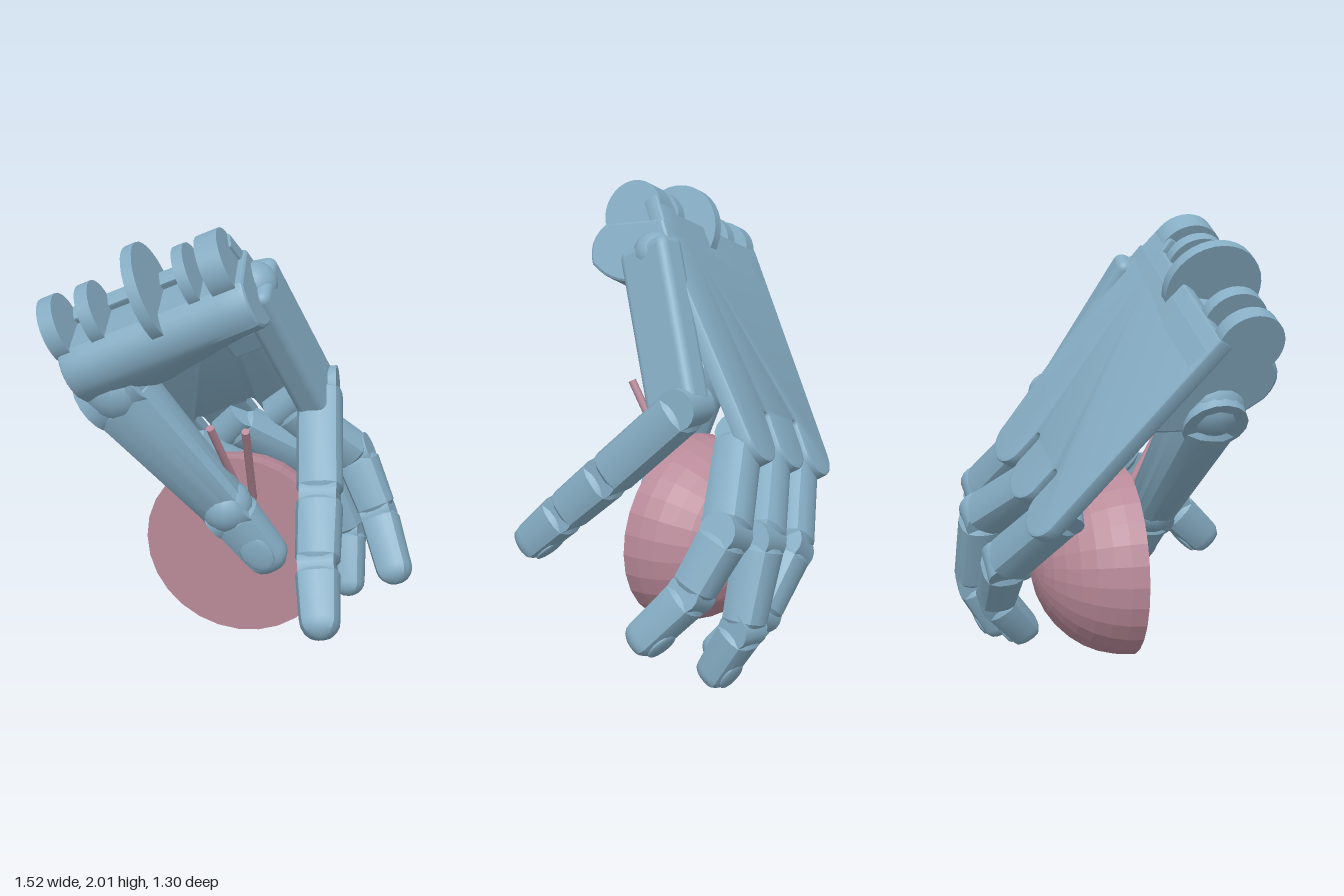
import * as THREE from 'three';
import { toCreasedNormals } from 'three/addons/utils/BufferGeometryUtils.js';
import { RoundedBoxGeometry } from 'three/addons/geometries/RoundedBoxGeometry.js';

const V = (x, y, z) => new THREE.Vector3(x, y, z);

// Hand frame: U across the knuckles, W from wrist to fingers, N out of the back of the hand
const U = V(0.91, 0.41, -0.08).normalize();
const N = U.clone().cross(V(0.25, -0.76, -0.6)).normalize();
const W = N.clone().cross(U);
const O = V(-0.12, 0.93, -0.44);
const at = (a, b, n) => O.clone().addScaledVector(U, a).addScaledVector(W, b).addScaledVector(N, n);

const blue = new THREE.MeshStandardMaterial({ color: 0x86adc4 });
const pink = new THREE.MeshStandardMaterial({ color: 0xb98a99 });
const pinkFacets = new THREE.MeshStandardMaterial({ color: 0xb98a99, flatShading: true });

function add(parent, name, geo, mat = blue) {
  const mesh = new THREE.Mesh(geo, mat);
  mesh.name = name;
  parent.add(mesh);
  return mesh;
}

function place(mesh, x, y, z, pos) {
  mesh.applyMatrix4(new THREE.Matrix4().makeBasis(x, y, z).setPosition(pos));
}

// Orients a mesh with y running from p to q and x near the hint
function along(mesh, p, q, hint, pos = p) {
  const y = q.clone().sub(p).normalize();
  const x = hint.clone().addScaledVector(y, -hint.dot(y)).normalize();
  place(mesh, x, y, x.clone().cross(y), pos);
}

// Tapered finger segment with a rounded-square section
function segmentGeometry(len, r0, r1, tip, depth) {
  const pts = [[0, 0], [r0 * 0.75, 0], [r0, r0 * 0.3]];
  if (tip) {
    for (let i = 0; i <= 5; i++) {
      const t = (i / 5) * Math.PI / 2;
      pts.push([i === 5 ? 0 : r1 * Math.cos(t), len - r1 * 0.9 * (1 - Math.sin(t))]);
    }
  } else pts.push([r1, len - r1 * 0.3], [r1 * 0.75, len], [0, len]);
  const geo = new THREE.LatheGeometry(pts.map(p => new THREE.Vector2(...p)), 16);
  const pos = geo.attributes.position;
  for (let i = 0; i < pos.count; i++) {
    const x = pos.getX(i), z = pos.getZ(i), r = Math.hypot(x, z);
    if (r < 1e-6) continue;
    const k = 0.95 * Math.pow((x / r) ** 4 + (z / r) ** 4, -0.2);
    pos.setX(i, x * k);
    pos.setZ(i, z * k * depth);
  }
  return toCreasedNormals(geo, 0.6);
}

// Digit made of segments, hinge pins and a nail
function digit(root, name, joints, radii, hint, depth = 1) {
  const group = new THREE.Group();
  group.name = name;
  root.add(group);
  const last = joints.length - 2;
  for (let i = 0; i <= last; i++) {
    const p = joints[i], q = joints[i + 1], tip = i === last;
    const dir = q.clone().sub(p), len = dir.length();
    const gap = 0.008;
    const start = p.clone().addScaledVector(dir, gap / len);
    const segLen = tip ? len - gap : len - 2 * gap;
    const seg = add(group, tip ? 'fingertip' : 'segment', segmentGeometry(segLen, radii[i], radii[i + 1], tip, depth));
    along(seg, p, q, hint, start);
    const pin = add(group, 'hingePin', new THREE.CylinderGeometry(radii[i] * 0.85, radii[i] * 0.85, radii[i] * 1.55, 16).rotateZ(Math.PI / 2));
    along(pin, p, q, hint);
    if (tip) {
      const nail = new THREE.SphereGeometry(1, 14, 8);
      nail.scale(radii[i] * 0.62, radii[i] * 0.8, 0.014);
      nail.translate(0, len - radii[i] * 1.25, radii[i + 1] * 0.93 * depth);
      along(add(group, 'nail', nail), p, q, hint);
    }
  }
}

function backPlate(root) {
  const s = new THREE.Shape();
  s.moveTo(-0.34, -1.07);
  s.lineTo(0.36, -1.07);
  s.lineTo(0.37, -1.13);
  s.lineTo(0.48, -1.13);
  s.lineTo(0.49, -0.75);
  // three rounded lobes separated by slots
  [0.25, -0.01, -0.27].forEach((a, i) => {
    s.absarc(a, -0.02, 0.1, 0, Math.PI, false);
    if (i < 2) s.absarc(a - 0.13, -0.14, 0.03, 0, Math.PI, true);
  });
  s.closePath();
  const geo = new THREE.ExtrudeGeometry(s, { depth: 0.05, bevelEnabled: true, bevelSize: 0.012, bevelThickness: 0.012, bevelSegments: 2, curveSegments: 10 });
  place(add(root, 'backPlate', toCreasedNormals(geo, 0.5)), U, W, N, at(0, 0, -0.09));
}

function palm(root) {
  const s = new THREE.Shape();
  s.moveTo(-1.0, -0.04);
  s.lineTo(-1.05, -0.14);
  s.lineTo(-1.12, -0.3);
  s.quadraticCurveTo(-1.1, -0.41, -0.98, -0.41);
  s.quadraticCurveTo(-0.78, -0.36, -0.7, -0.25);
  s.quadraticCurveTo(-0.62, -0.14, -0.58, -0.05);
  const a0 = -0.32;
  const geo = new THREE.ExtrudeGeometry(s, { depth: 0.81, steps: 8, bevelEnabled: true, bevelSize: 0.015, bevelThickness: 0.02, bevelSegments: 2, curveSegments: 6 });
  const pos = geo.attributes.position;
  // the heel gets shorter towards the open side of the palm
  for (let i = 0; i < pos.count; i++) {
    const b = pos.getX(i), a = pos.getZ(i) + a0;
    if (b > -1.02) pos.setX(i, -1.02 + (b + 1.02) * (1 - 0.9 * Math.max(0, Math.min(0.45, a + 0.02))));
  }
  place(add(root, 'palmHeel', toCreasedNormals(geo, 0.5)), W, N, U, at(a0, 0, 0));
}

function wrist(root) {
  // hinge lugs: position across, radius, width
  [[-0.31, 0.145, 0.07], [-0.14, 0.14, 0.06], [0.11, 0.215, 0.05], [0.3, 0.14, 0.05], [0.43, 0.145, 0.1]].forEach(([a, r, w]) => {
    const geo = new THREE.CylinderGeometry(r, r, w, 32).rotateZ(Math.PI / 2);
    place(add(root, 'wristLug', toCreasedNormals(geo, 0.5)), U, W, N, at(a, -1.13, -0.17));
  });
}

function sideArm(root) {
  const p = V(0.11, 1.77, 0.19), q = V(0.32, 1.14, -0.15), hint = V(0.93, 0.33, 0.1);
  const arm = add(root, 'sideArm', new RoundedBoxGeometry(0.14, p.distanceTo(q), 0.27, 3, 0.04));
  along(arm, p, q, hint, p.clone().lerp(q, 0.5));
  // shoulder where the arm meets the wrist, and the web to the palm
  const shoulder = add(root, 'armShoulder', new THREE.SphereGeometry(0.1, 20, 14));
  shoulder.position.set(0.1, 1.73, 0.16);
  const web = add(root, 'armWeb', new RoundedBoxGeometry(0.28, 0.14, 0.1, 2, 0.02));
  place(web, U, W, N, at(0.36, -0.62, -0.13));
}

function ball(root) {
  const group = new THREE.Group();
  group.name = 'halfBall';
  root.add(group);
  const r = 0.43;
  const dome = new THREE.SphereGeometry(r, 28, 9, 0, Math.PI * 2, 0, Math.PI / 2).rotateX(-Math.PI / 2);
  add(group, 'dome', dome, pinkFacets);
  add(group, 'flatFace', new THREE.CircleGeometry(r, 28), pink);
  group.position.set(0.01, 0.465, 0.07);
  // two slender sticks standing out of the flat face
  [[V(0.03, 0.68, 0.05), V(-0.055, 1.13, 0.31)], [V(0.075, 0.68, 0.05), V(0.1, 1.13, 0.31)]].forEach(([p, q]) => {
    const stick = add(root, 'stick', new THREE.CylinderGeometry(0.018, 0.018, p.distanceTo(q), 10), pink);
    along(stick, p, q, V(1, 0, 0), p.clone().lerp(q, 0.5));
  });
}

export function createModel() {
  const root = new THREE.Group();
  root.name = 'handWithHalfBall';
  backPlate(root);
  palm(root);
  wrist(root);
  sideArm(root);
  ball(root);
  // fingers under the three lobes
  digit(root, 'firstFinger', [at(0.26, -0.06, -0.12), V(0.44, 0.72, -0.5), V(0.57, 0.47, -0.42), V(0.705, 0.21, -0.22)],
    [0.095, 0.1, 0.092, 0.085], U);
  digit(root, 'middleFinger', [at(0, -0.06, -0.12), V(0.26, 0.64, -0.54), V(0.4, 0.29, -0.56), V(0.44, 0.01, -0.41)],
    [0.095, 0.1, 0.09, 0.08], U);
  digit(root, 'thirdFinger', [at(-0.26, -0.06, -0.12), V(-0.02, 0.5, -0.49), V(0.2, 0.26, -0.49), V(0.31, 0.03, -0.31)],
    [0.095, 0.1, 0.09, 0.08], U);
  // finger on the side arm, reaching forwards
  digit(root, 'sideFinger', [V(0.32, 1.17, -0.19), V(0.4, 0.8, 0.18), V(0.44, 0.58, 0.41), V(0.5, 0.36, 0.63)],
    [0.105, 0.105, 0.1, 0.09], V(1, 0.1, -0.1));
  // thumb in front of the ball, with swollen root and middle joint
  digit(root, 'thumb', [V(-0.47, 1.27, 0.3), V(0, 0.69, 0.18), V(0.21, 0.41, 0.13)],
    [0.165, 0.115, 0.1], V(-0.7, -0.65, 0), 0.85);
  [[V(-0.47, 1.29, 0.3), 0.165], [V(-0.02, 0.715, 0.185), 0.12]].forEach(([pos, r]) => {
    add(root, 'thumbJoint', new THREE.SphereGeometry(r, 18, 12)).position.copy(pos);
  });
  return root;
}
